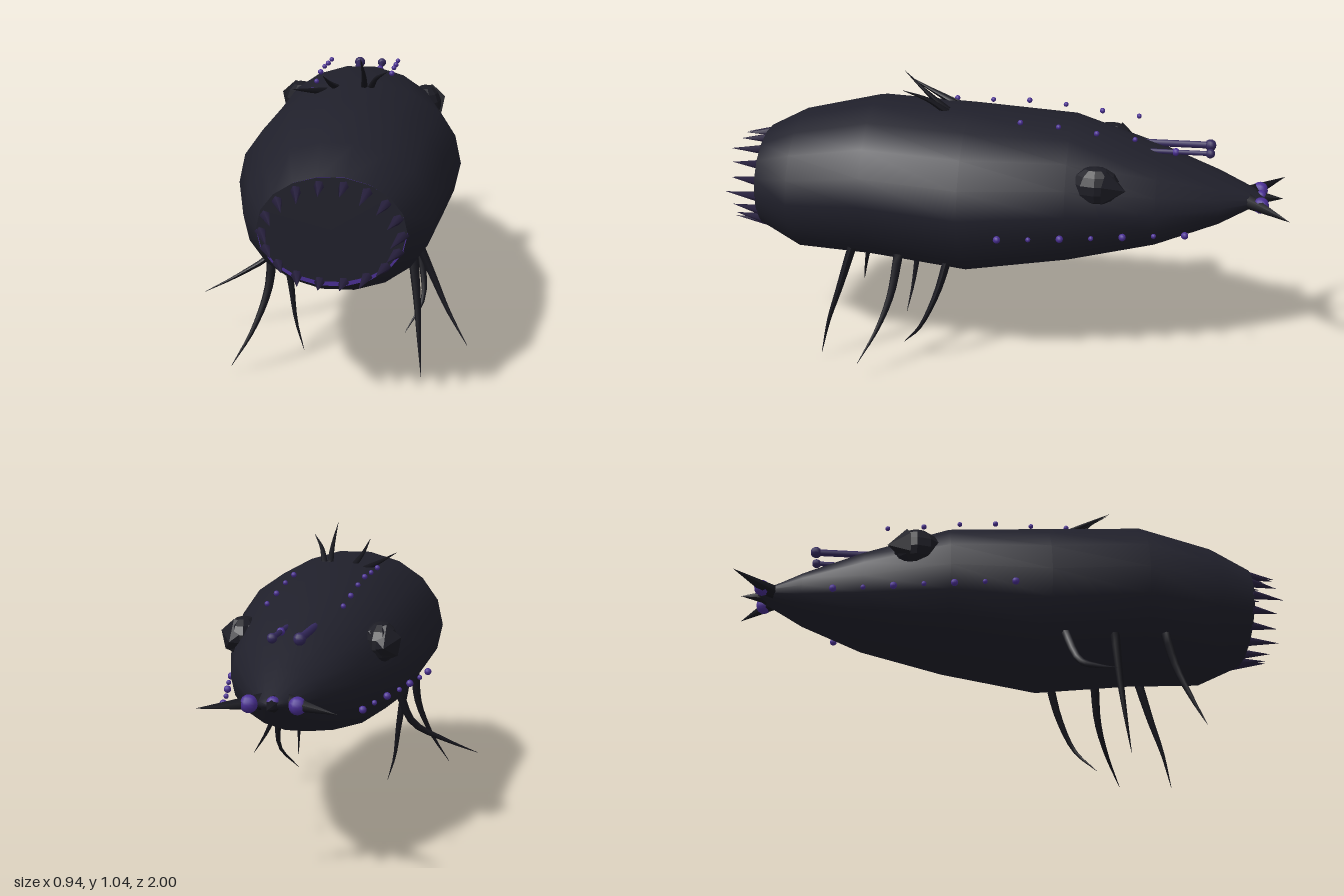
import * as THREE from 'three';

const mat = (name, color, extra = {}) => {
  const m = new THREE.MeshStandardMaterial({ color, ...extra });
  m.name = name;
  return m;
};

export function createModel() {
  const hull = mat('hull dark', 0x20202b);
  const limb = mat('limb black', 0x16161d);
  const purple = mat('glow purple', 0x4a2f94);
  const tooth = mat('tooth violet', 0x261f3c);
  const eyeMat = mat('eye dark', 0x1c1c24, { flatShading: true });
  const rodMat = mat('rod violet', 0x33285c);
  const root = new THREE.Group();
  const V = (p) => new THREE.Vector3(...p);

  const add = (name, geo, material, p = [0, 0, 0], parent = root) => {
    const m = new THREE.Mesh(geo, material);
    m.name = name;
    m.position.set(...p);
    parent.add(m);
    return m;
  };
  const group = (name) => {
    const g = new THREE.Group();
    g.name = name;
    root.add(g);
    return g;
  };
  const ball = (name, r, p, parent, material = purple) =>
    add(name, new THREE.SphereGeometry(r, 10, 8), material, p, parent);

  // Cone running from point a to point b
  const spike = (name, a, b, r, sides, material, parent) => {
    const dir = V(b).sub(V(a));
    const m = add(name, new THREE.ConeGeometry(r, dir.length(), sides), material,
      V(a).add(V(b)).multiplyScalar(0.5).toArray(), parent);
    m.quaternion.setFromUnitVectors(new THREE.Vector3(0, 1, 0), dir.normalize());
    return m;
  };

  // Tube that narrows to a point at its end
  const tentacle = (name, pts, r, parent) => {
    const curve = new THREE.CatmullRomCurve3(pts.map(V));
    const seg = 10, sides = 6;
    const geo = new THREE.TubeGeometry(curve, seg, r, sides);
    const pos = geo.attributes.position, v = new THREE.Vector3();
    for (let i = 0; i < pos.count; i++) {
      const t = Math.floor(i / (sides + 1)) / seg;
      const c = curve.getPointAt(t);
      v.fromBufferAttribute(pos, i).sub(c).multiplyScalar(1 - 0.96 * t ** 1.4).add(c);
      pos.setXYZ(i, v.x, v.y, v.z);
    }
    geo.computeVertexNormals();
    return add(name, geo, limb, [0, 0, 0], parent);
  };

  // Body: elliptical rings [z, centre x, centre y, radius x, radius y]
  const rings = [
    [0.88, 0.045, 0.605, 0.235, 0.18],
    [0.745, 0.052, 0.607, 0.303, 0.248],
    [0.475, 0.045, 0.63, 0.352, 0.285],
    [0.125, 0.07, 0.61, 0.36, 0.296],
    [-0.235, 0.045, 0.617, 0.317, 0.258],
    [-0.54, 0.052, 0.605, 0.225, 0.175],
    [-0.76, 0.042, 0.6, 0.125, 0.092],
    [-0.9, 0.043, 0.606, 0.05, 0.02],
    [-0.93, 0.043, 0.606, 0.004, 0.004],
  ];
  const N = 18, verts = [], idx = [];
  rings.forEach(([z, cx, cy, rx, ry], r) => {
    for (let s = 0; s < N; s++) {
      const a = (s / N) * Math.PI * 2;
      verts.push(cx + rx * Math.cos(a), cy + ry * Math.sin(a), z);
      if (r < rings.length - 1) {
        const p = r * N + s, q = r * N + (s + 1) % N;
        idx.push(p, p + N, q, q, p + N, q + N);
      }
    }
  });
  const bodyGeo = new THREE.BufferGeometry();
  bodyGeo.setAttribute('position', new THREE.Float32BufferAttribute(verts, 3));
  bodyGeo.setIndex(idx);
  bodyGeo.computeVertexNormals();
  add('body', bodyGeo, hull);

  // Mouth: dark plate over a purple lip that shows along the bottom
  add('mouthLip', new THREE.CircleGeometry(1, N), purple, [0.045, 0.605, 0.88]).scale.set(0.235, 0.18, 1);
  add('mouthPlate', new THREE.CircleGeometry(1, N), hull, [0.045, 0.613, 0.884]).scale.set(0.234, 0.172, 1);

  // Ring of teeth leaning slightly inward
  const teeth = group('teeth');
  for (let i = 0; i < 18; i++) {
    const a = (i / 18) * Math.PI * 2, c = Math.cos(a), s = Math.sin(a);
    spike('tooth', [0.045 + 0.222 * c, 0.6 + 0.16 * s, 0.87],
      [0.045 + 0.188 * c, 0.6 + 0.152 * s, i % 3 ? 0.98 : 1], 0.019, 5, tooth, teeth);
  }

  // Legs hanging from the belly
  const legs = group('legs');
  [
    [[-0.19, 0.42, 0.54], [-0.2, 0.29, 0.57], [-0.25, 0.15, 0.61], [-0.32, 0.03, 0.64]],
    [[-0.18, 0.42, 0.36], [-0.15, 0.24, 0.38], [-0.13, 0.1, 0.4], [-0.1, 0, 0.42]],
    [[-0.18, 0.42, 0.18], [-0.23, 0.29, 0.22], [-0.35, 0.215, 0.27], [-0.47, 0.16, 0.31]],
    [[0.28, 0.43, 0.53], [0.3, 0.27, 0.58], [0.31, 0.15, 0.62], [0.32, 0.02, 0.65]],
    [[0.28, 0.42, 0.36], [0.345, 0.28, 0.38], [0.4, 0.17, 0.42], [0.47, 0.065, 0.48]],
    [[0.27, 0.42, 0.18], [0.3, 0.28, 0.22], [0.31, 0.15, 0.28], [0.25, 0.05, 0.355]],
  ].forEach((p) => tentacle('leg', p, 0.017, legs));

  // Tendrils on the back
  const tendrils = group('backTendrils');
  [
    [[-0.04, 0.88, 0.19], [-0.09, 0.9, 0.27], [-0.14, 0.925, 0.36]],
    [[0, 0.89, 0.19], [-0.02, 0.925, 0.27], [-0.035, 0.975, 0.37]],
    [[0.09, 0.89, 0.2], [0.095, 0.95, 0.27], [0.09, 1.035, 0.36]],
    [[0.11, 0.89, 0.2], [0.135, 0.945, 0.27], [0.18, 0.99, 0.35]],
  ].forEach((p) => tentacle('backTendril', p, 0.012, tendrils));

  // Bulging side eyes with a pointed rear lid
  for (const [x, z, side] of [[0.285, -0.335, 1], [-0.2, -0.355, -1]]) {
    const eye = group(side > 0 ? 'leftEye' : 'rightEye');
    add('eyeball', new THREE.SphereGeometry(1, 10, 7), eyeMat, [x, 0.71, z], eye).scale.set(0.06, 0.07, 0.085);
    spike('eyeLid', [x + side * 0.012, 0.71, z - 0.035], [x + side * 0.025, 0.705, z - 0.105], 0.066, 6, eyeMat, eye);
  }

  // Glowing dots along both flanks and the back
  const dots = group('glowDots');
  const flank = [0.4, 0.385, 0.365, 0.345, 0.32, 0.295, 0.275];
  flank.forEach((x, i) => {
    const z = -0.01 - i * 0.106, r = i % 2 ? 0.009 : 0.013;
    ball('flankDot', r, [x, 0.54, z], dots);
    ball('flankDot', r, [0.085 - x, 0.54, z], dots);
  });
  [0.845, 0.86, 0.878, 0.888, 0.885, 0.885].forEach((y, i) => {
    const z = -0.46 + i * 0.133, r = i % 2 ? 0.01 : 0.009;
    ball('backDot', r, [-0.09, y, z], dots);
    if (i < 4) ball('backDot', r, [0.17, y, z], dots);
  });

  // Two ball-tipped rods above the tail
  const rods = group('tailRods');
  for (const [x, r] of [[0, 0.013], [0.09, 0.009]]) {
    add('rod', new THREE.CylinderGeometry(r, r, 0.25, 8), rodMat, [x, 0.778, -0.595], rods).rotation.x = Math.PI / 2;
    ball('rodTip', r + 0.008, [x, 0.778, -0.72], rods, rodMat);
  }
  for (const z of [-0.6, -0.475]) ball('rodBead', 0.014, [0.09, 0.778, z], rods);

  // Tail end: two swept spikes, a centre spike and purple orbs
  const tail = group('tail');
  for (const s of [1, -1]) {
    spike('tailSpike', [0.043 + s * 0.045, 0.605, -0.865], [0.043 + s * 0.222, 0.605, -1], 0.028, 6, limb, tail);
    ball('tailOrb', 0.029, [0.043 + s * 0.077, 0.605, -0.905], tail);
  }
  spike('tailCentreSpike', [0.043, 0.605, -0.89], [0.043, 0.605, -0.985], 0.028, 6, limb, tail);
  ball('tailBead', 0.022, [0.043, 0.61, -0.905], tail);

  return root;
}
